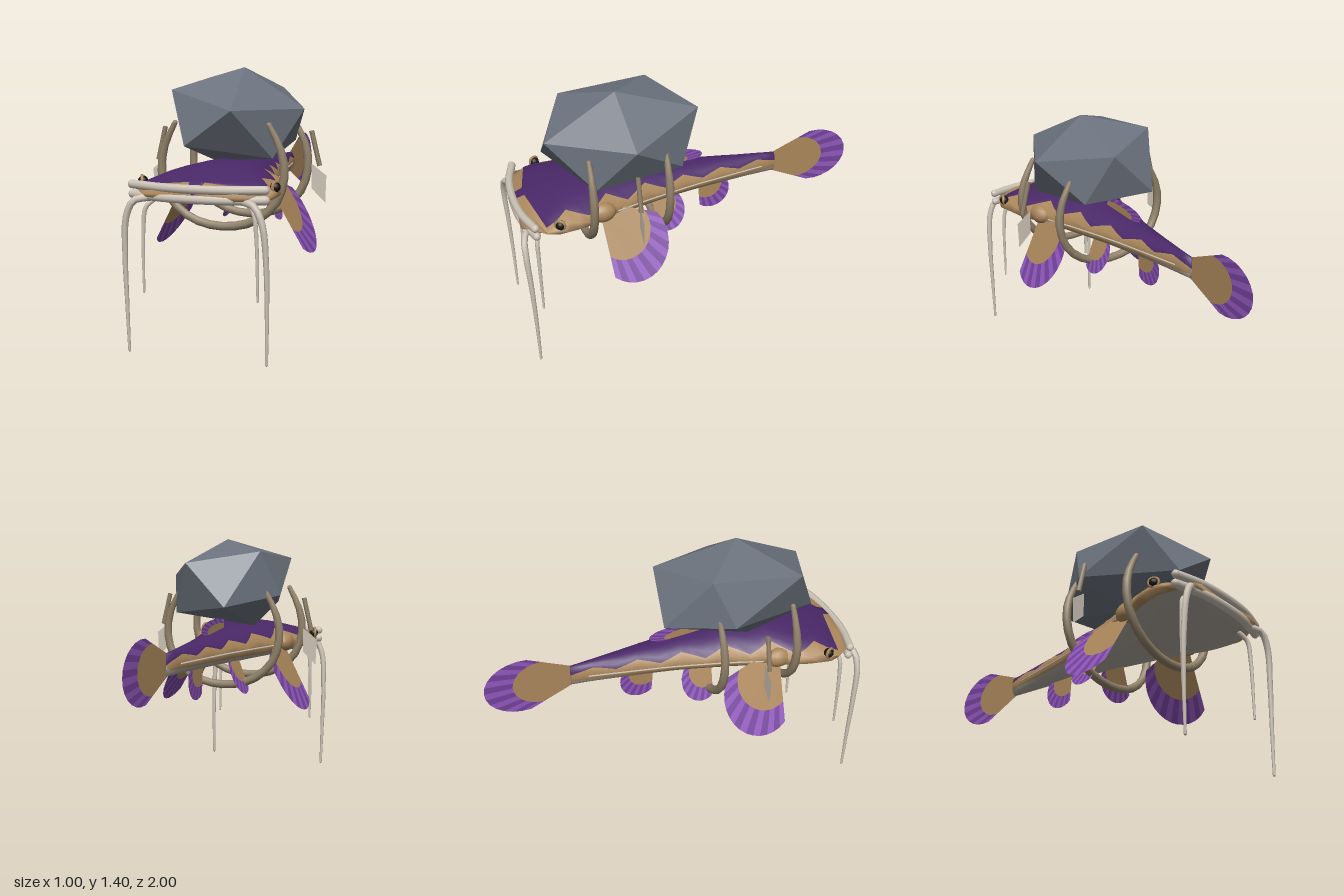
import * as THREE from 'three';
import { ConvexGeometry } from 'three/addons/geometries/ConvexGeometry.js';

const V = (x, y, z) => new THREE.Vector3(x, y, z);
const mat = (name, color, extra = {}) => {
  const m = new THREE.MeshStandardMaterial({ color, ...extra });
  m.name = name;
  return m;
};
const two = { side: THREE.DoubleSide };

export function createModel() {
  const M = {
    purple: mat('darkPurple', 0x4a2868),
    rimDark: mat('finPurple', 0x74429c, two),
    rimLight: mat('finLilac', 0x9158bc, two),
    tan: mat('tan', 0xac885c, two),
    belly: mat('bellyGrey', 0xb0aa9e),
    pale: mat('paleBone', 0xcdc3b6, two),
    rope: mat('rope', 0x91826a),
    stone: mat('stone', 0x6c737e),
    eye: mat('eyeBlack', 0x17140f),
  };
  const model = new THREE.Group();
  model.name = 'catfishWithBoulder';
  const fish = new THREE.Group();
  fish.name = 'catfish';
  fish.position.x = -0.135;
  fish.rotation.y = 0.3;
  model.add(fish);

  const add = (name, geo, material, parent = fish) => {
    const mesh = new THREE.Mesh(geo, material);
    mesh.name = name;
    parent.add(mesh);
    return mesh;
  };

  // Tube whose radius follows a rule along its length, closed with round ends
  const taperTube = (name, pts, radius, material, segs = 20, sides = 8) => {
    const curve = new THREE.CatmullRomCurve3(pts);
    const geo = new THREE.TubeGeometry(curve, segs, 1, sides);
    const p = geo.attributes.position;
    const v = V();
    for (let i = 0; i <= segs; i++) {
      const c = curve.getPointAt(i / segs);
      for (let j = 0; j <= sides; j++) {
        const k = i * (sides + 1) + j;
        v.fromBufferAttribute(p, k).sub(c).multiplyScalar(radius(i / segs)).add(c);
        p.setXYZ(k, v.x, v.y, v.z);
      }
    }
    add(name, geo, material);
    for (const t of [0, 1]) {
      const end = add(name + 'End', new THREE.SphereGeometry(radius(t), sides, 6), material);
      end.position.copy(curve.getPointAt(t));
    }
  };

  // Body sections: z, half width, top, bottom
  const sections = [
    [0.92, 0.27, 0.845, 0.78], [0.85, 0.335, 0.87, 0.765], [0.73, 0.373, 0.9, 0.745],
    [0.6, 0.338, 0.925, 0.722], [0.45, 0.265, 0.932, 0.712], [0.25, 0.2, 0.922, 0.715],
    [0.05, 0.148, 0.902, 0.725], [-0.09, 0.115, 0.89, 0.73], [-0.35, 0.068, 0.875, 0.738],
    [-0.59, 0.026, 0.86, 0.745],
  ];
  const section = (z) => {
    let i = 0;
    while (i < sections.length - 2 && z < sections[i + 1][0]) i++;
    const [a, b] = [sections[i], sections[i + 1]];
    const t = THREE.MathUtils.clamp((a[0] - z) / (a[0] - b[0]), 0, 1);
    return a.map((n, k) => n + (b[k] - n) * t);
  };

  // Body: lofted rings with a zigzag edge between back and flank colours
  const zones = [0, 0, 0, 0, 1, 1, 1, 2, 2, 2, 2, 2, 2, 1, 1, 1, 0, 0, 0, 0];
  const rows = 26;
  const pos = [];
  for (let i = -1; i <= rows + 1; i++) {
    const z = 0.92 - (1.51 * THREE.MathUtils.clamp(i, 0, rows)) / rows;
    const [, hw, top, bot] = section(z);
    const closed = i < 0 || i > rows ? 0.01 : 1;
    const zig = 1 - Math.abs((i % 4) - 2) / 2;
    const edge = i < 2 ? 0.12 : 0.82 + 0.42 * zig;
    const belly = 2.02;
    for (let j = 0; j < 20; j++) {
      const k = j > 10 ? 20 - j : j;
      let a = k <= 4 ? (edge * k) / 4
        : k <= 7 ? edge + ((belly - edge) * (k - 4)) / 3
        : belly + ((Math.PI - belly) * (k - 7)) / 3;
      if (j > 10) a = -a;
      const h = Math.cos(a) > 0 ? top - 0.8 : 0.8 - bot;
      pos.push(Math.sin(a) * hw * closed, 0.8 + Math.cos(a) * h * closed, z);
    }
  }
  const body = new THREE.BufferGeometry();
  const index = [];
  for (let zone = 0; zone < 3; zone++) {
    const start = index.length;
    for (let i = 0; i < rows + 2; i++) {
      for (let j = 0; j < 20; j++) {
        if (zones[j] !== zone) continue;
        const a = i * 20 + j, b = i * 20 + ((j + 1) % 20);
        index.push(a, b, b + 20, a, b + 20, a + 20);
      }
    }
    body.addGroup(start, index.length - start, zone);
  }
  body.setAttribute('position', new THREE.Float32BufferAttribute(pos, 3));
  body.setIndex(index);
  body.computeVertexNormals();
  add('body', body, [M.purple, M.tan, M.belly]);

  // Fin: tan web from a base edge, with a striped rim along an elliptical arc
  const fin = (name, at, tilt, scale, o) => {
    const g = new THREE.Group();
    g.name = name;
    g.position.set(...at);
    g.rotation.z = tilt;
    fish.add(g);
    const plane = new THREE.Group();
    plane.rotation.y = Math.PI / 2;
    plane.scale.set(scale[0], scale[1], 1);
    g.add(plane);
    const n = 14;
    const outer = [], inner = [];
    for (let i = 0; i <= n; i++) {
      const t = i / n, a = THREE.MathUtils.degToRad(o.a0 + (o.a1 - o.a0) * t);
      const out = new THREE.Vector2(o.c[0] + o.r[0] * Math.cos(a), o.c[1] + o.r[1] * Math.sin(a));
      const base = new THREE.Vector2(...o.b0).lerp(new THREE.Vector2(...o.b1), t);
      outer.push(out);
      inner.push(base.lerp(out, o.web));
    }
    const web = new THREE.Shape([new THREE.Vector2(...o.b0), ...inner, new THREE.Vector2(...o.b1)]);
    add('finWeb', new THREE.ShapeGeometry(web), M.tan, plane);
    for (const s of [0, 1]) {
      const cells = [];
      for (let i = s; i < n; i += 2) {
        cells.push(new THREE.Shape([inner[i], outer[i], outer[i + 1], inner[i + 1]]));
      }
      add('finRim', new THREE.ShapeGeometry(cells), s ? M.rimDark : M.rimLight, plane);
    }
  };
  const paddle = { b0: [-0.02, 0], b1: [0.07, 0.03], c: [0.13, -0.18], r: [0.2, 0.22], a0: -128, a1: 38, web: 0.68 };
  fin('tailFin', [0, 0.8, -0.58], 0, [1, 1],
    { b0: [0, -0.057], b1: [0, 0.06], c: [0.26, 0], r: [0.205, 0.16], a0: -98, a1: 98, web: 0.68 });
  fin('dorsalFin', [0, 0.885, 0.16], 0, [0.95, -0.22], paddle);
  fin('analFin', [0, 0.765, -0.14], 0, [0.55, 0.5], paddle);

  // Paired parts
  for (const s of [-1, 1]) {
    fin('pectoralFin', [s * 0.24, 0.8, 0.48], s * 0.5, [1, 1], paddle);
    fin('pelvicFin', [s * 0.08, 0.76, 0.16], s * 0.4, [0.52, 0.54], paddle);

    const shoulder = add('finShoulder', new THREE.SphereGeometry(1, 14, 10), M.tan);
    shoulder.scale.set(0.05, 0.055, 0.075);
    shoulder.position.set(s * 0.25, 0.81, 0.49);

    // Eyes
    const eye = add('eye', new THREE.SphereGeometry(0.026, 14, 10), M.eye);
    eye.position.set(s * 0.35, 0.84, 0.735);
    const ring = add('eyeRing', new THREE.TorusGeometry(0.025, 0.008, 6, 16), M.tan);
    ring.position.set(s * 0.355, 0.842, 0.738);
    ring.rotation.y = s * 1.1;

    // Whiskers
    taperTube('longWhisker', [V(s * 0.24, 0.785, 0.885), V(s * 0.31, 0.77, 0.92), V(s * 0.35, 0.69, 0.925),
      V(s * 0.366, 0.5, 0.915), V(s * 0.366, 0.25, 0.905), V(s * 0.362, 0.007, 0.9)],
      (t) => 0.019 - 0.012 * t, M.pale, 24);
    taperTube('shortWhisker', [V(s * 0.24, 0.77, 0.83), V(s * 0.28, 0.73, 0.85), V(s * 0.295, 0.62, 0.853),
      V(s * 0.3, 0.3, 0.85)], (t) => 0.013 - 0.007 * t, M.pale);

    // Lateral line
    const line = [];
    for (let z = 0.4; z > -0.58; z -= 0.1) line.push(V(s * section(z)[1], 0.8, z));
    taperTube('lateralLine', line, () => 0.005, M.pale, 20, 5);

    // Hanging stick with its tag
    const stick = add('tagStick', new THREE.CylinderGeometry(0.013, 0.013, 0.185, 6), M.rope);
    stick.position.set(s * 0.433, 0.99, 0.335);
    stick.rotation.z = s * 0.24;
    const tag = new THREE.Shape([[0.41, 0.91], [0.49, 0.85], [0.485, 0.71], [0.41, 0.78]]
      .map(([x, y]) => new THREE.Vector2(s * x, y)));
    add('tag', new THREE.ShapeGeometry(tag), M.pale).position.z = 0.33;
  }

  // Lips
  for (const [name, y, z] of [['upperLip', 0.842, 0], ['lowerLip', 0.793, -0.005]]) {
    taperTube(name, [V(-0.345, y, 0.865 + z), V(-0.18, y - 0.003, 0.908 + z), V(0, y - 0.004, 0.92 + z),
      V(0.18, y - 0.003, 0.908 + z), V(0.345, y, 0.865 + z)], () => 0.022, M.pale);
  }

  // Rope cradles open at the top
  for (const z of [0.55, 0.14]) {
    const half = [[0.255, 1.12], [0.315, 1.0], [0.335, 0.87], [0.29, 0.73], [0.17, 0.63]];
    const pts = [...half.map(([x, y]) => V(-x, y, z)), V(0, 0.595, z),
      ...half.reverse().map(([x, y]) => V(x, y, z))];
    taperTube('ropeCradle', pts, (t) => 0.014 + 0.009 * Math.min(1, 8 * Math.min(t, 1 - t)), M.rope, 22);
  }

  // Boulder: rough twenty-sided stone
  const corners = [
    [0.02, 1.4, 0.32], [-0.2, 1.29, 0.64], [0.21, 1.2, 0.68], [0.314, 1.19, 0.2],
    [-0.04, 1.28, -0.115], [-0.325, 1.34, 0.17], [-0.375, 1.1, 0.29], [-0.04, 1.02, 0.735],
    [0.27, 0.95, 0.42], [0.1, 1.0, -0.03], [-0.27, 1.05, -0.07], [-0.13, 0.91, 0.38],
  ];
  add('boulder', new ConvexGeometry(corners.map((c) => V(...c))), M.stone, model);
  return model;
}
